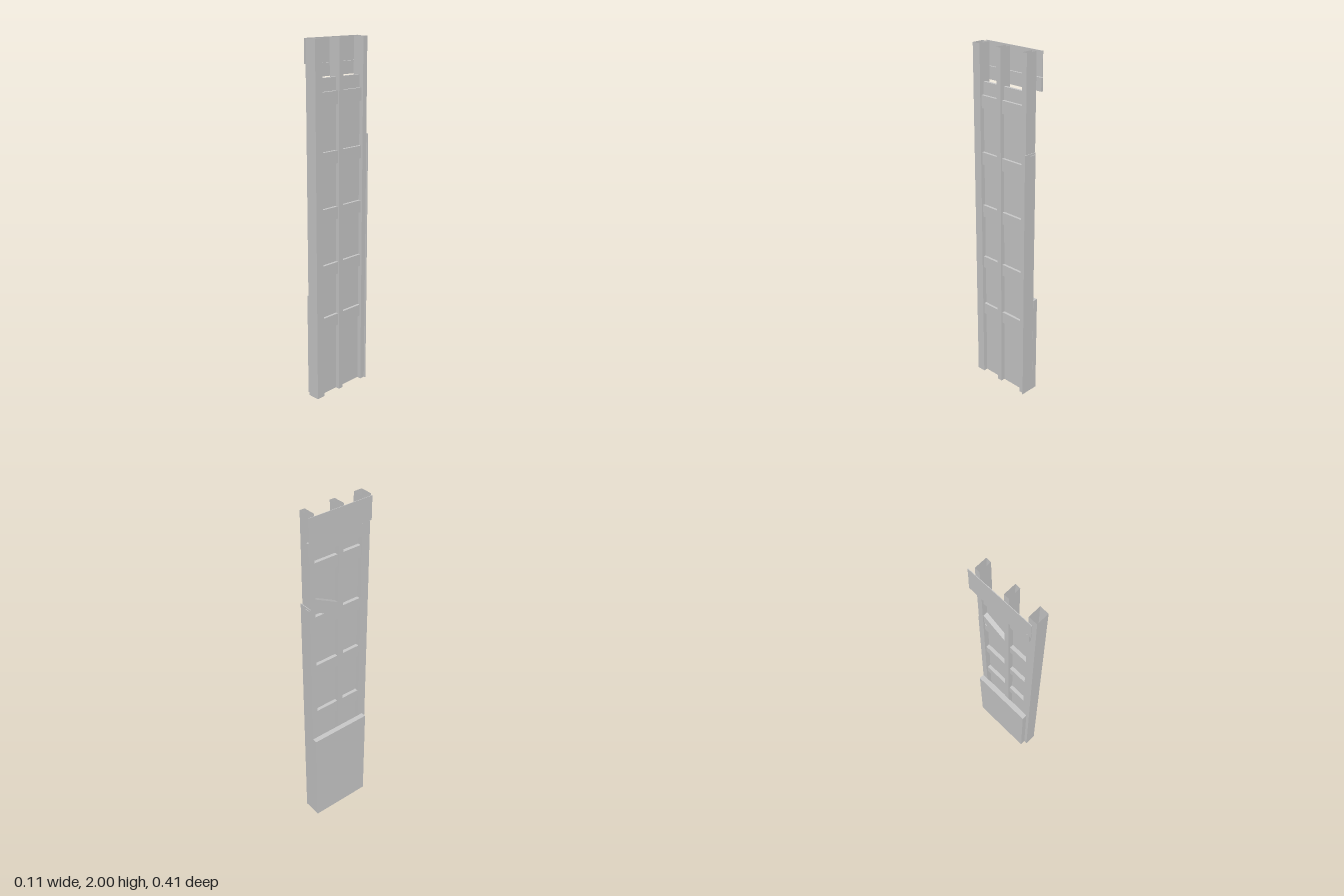
import * as THREE from 'three';

const material = new THREE.MeshStandardMaterial({ color: 0xcccccc, flatShading: true, side: THREE.DoubleSide });

export function createModel() {
  const model = new THREE.Group();
  model.name = 'framedPanel';

  // Box given by its limits on each axis
  function box(name, [x0, x1], [y0, y1], [z0, z1]) {
    const mesh = new THREE.Mesh(new THREE.BoxGeometry(x1 - x0, y1 - y0, z1 - z0), material);
    mesh.position.set((x0 + x1) / 2, (y0 + y1) / 2, (z0 + z1) / 2);
    mesh.name = name;
    model.add(mesh);
    return mesh;
  }

  // Hollow upright, open at both ends
  function stud(name, [x0, x1], [z0, z1]) {
    const group = new THREE.Group();
    group.name = name;
    const w = x1 - x0, d = z1 - z0;
    for (const side of [-1, 1]) {
      const broad = new THREE.Mesh(new THREE.PlaneGeometry(w, 2), material);
      broad.position.z = side * d / 2;
      if (side < 0) broad.rotation.y = Math.PI;
      const narrow = new THREE.Mesh(new THREE.PlaneGeometry(d, 2), material);
      narrow.position.x = side * w / 2;
      narrow.rotation.y = side * Math.PI / 2;
      broad.name = 'studWideWall';
      narrow.name = 'studNarrowWall';
      group.add(broad, narrow);
    }
    group.position.set((x0 + x1) / 2, 1, (z0 + z1) / 2);
    model.add(group);
  }

  // Three uprights
  const depth = [-0.03, 0.04];
  stud('frontStud', depth, [0.15, 0.2]);
  stud('middleStud', depth, [0, 0.03]);
  stud('backStud', depth, [-0.18, -0.15]);

  // Thin infill panel between the uprights
  box('infillPanel', [0, 0.015], [0, 1.8], [-0.16, 0.15]);

  // Cross battens on both faces of the infill, in each bay
  for (const y of [0.405, 0.715, 1.035, 1.345, 1.66]) {
    for (const bay of [[-0.15, 0], [0.03, 0.15]]) {
      box('outerBatten', [0.015, 0.03], [y, y + 0.07], bay);
      box('innerBatten', [-0.02, 0], [y, y + 0.07], bay);
    }
  }

  // Loose batten hanging at a slant in the back bay
  const loose = box('looseBatten', [-0.025, 0.01], [1.42, 1.49], [-0.18, 0.014]);
  loose.rotation.x = 0.47;

  // Cladding on the inner face: base panel, head rail and thin head sheet
  box('basePanel', [-0.06, -0.03], [0, 0.6], [-0.185, 0.18]);
  box('headRail', [-0.053, -0.04], [1.8, 1.87], [-0.205, 0.18]);
  const sheet = box('headSheet', [-0.054, -0.051], [1.87, 2], [-0.2, 0.19]);
  sheet.rotation.y = 0.008;

  // Thin edge strip on the back upright
  box('edgeStrip', [-0.03, 0.05], [0, 1.48], [-0.184, -0.18]);

  return model;
}
